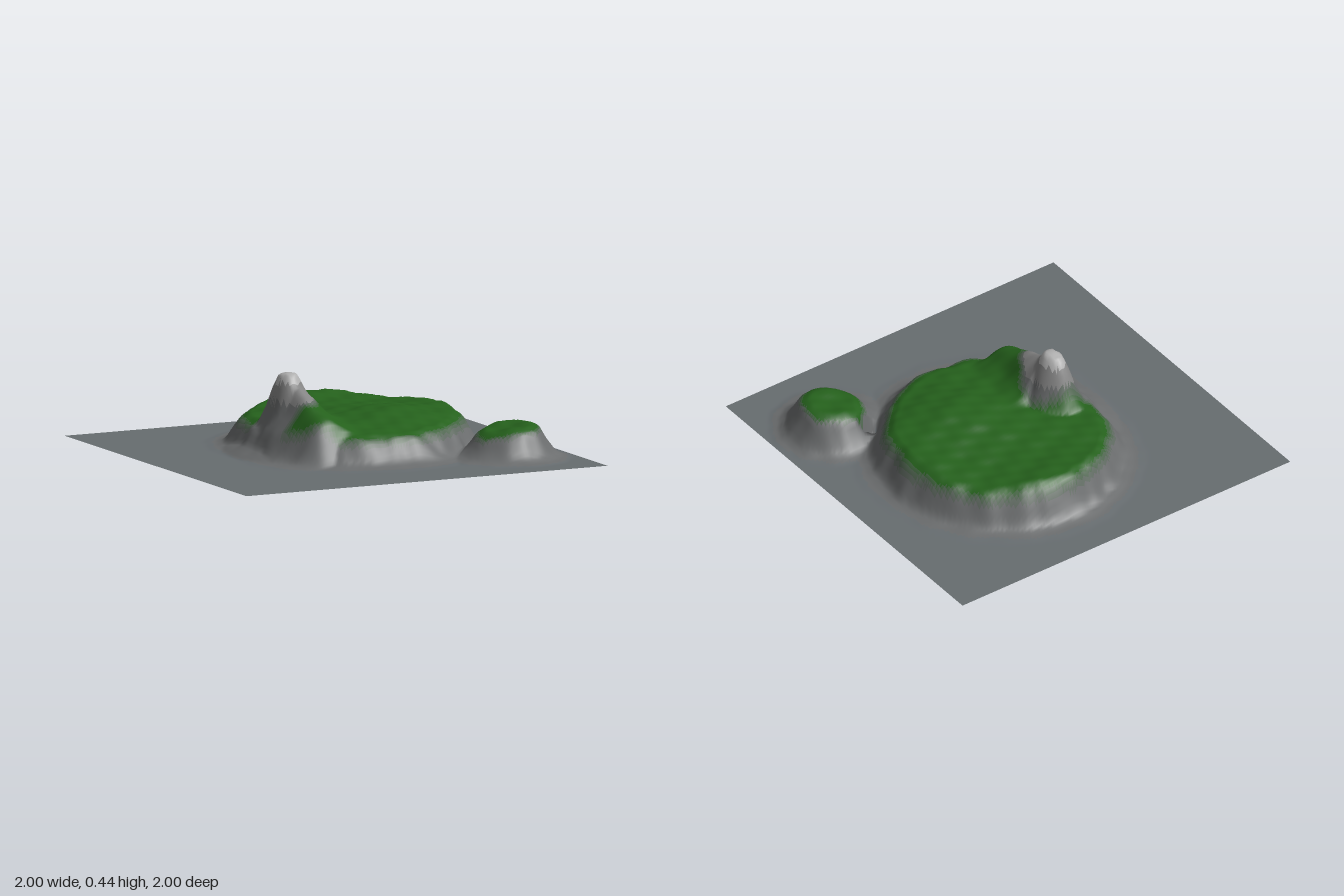
import * as THREE from 'three';

const SEGMENTS = 128, SEA = 0.03;
const { smoothstep, lerp } = THREE.MathUtils;

// Linear lookup in a short list of [position, value] pairs.
function lookup(table, x) {
  if (x <= table[0][0]) return table[0][1];
  for (let i = 1; i < table.length; i++) {
    const [x0, y0] = table[i - 1], [x1, y1] = table[i];
    if (x <= x1) return lerp(y0, y1, (x - x0) / (x1 - x0));
  }
  return table[table.length - 1][1];
}

// Shore radius of the main island every 45 degrees, from +x towards +z.
const ISLAND = { x: 0.13, z: -0.1 };
const SHORE = [0.64, 0.66, 0.715, 0.725, 0.61, 0.65, 0.672, 0.65];
// Cliff: share of the plateau height against distance / shore radius.
const CLIFF = [[0.78, 1], [0.85, 0.86], [0.9, 0.55], [0.94, 0.28], [0.98, 0.11], [1.04, 0.04], [1.13, 0]];
// Heights of the peak and the islet against distance from their centres.
const PEAK = [[0, 0.437], [0.035, 0.43], [0.06, 0.36], [0.09, 0.25], [0.14, 0.14], [0.19, 0.08], [0.29, SEA]];
const ISLET = [[0, 0.185], [0.12, 0.19], [0.16, 0.17], [0.2, 0.105], [0.235, 0.06], [0.27, 0.04], [0.32, SEA]];
// Crest of the ridge running forward from the peak, against z.
const RIDGE = [[-0.1, SEA], [0, 0.4], [0.1, 0.36], [0.2, 0.31], [0.3, 0.272], [0.37, 0.242], [0.44, 0.12], [0.5, SEA]];

const bump = (x, z, cx, cz, sx, sz) =>
  Math.exp(-((x - cx) ** 2) / (2 * sx * sx) - ((z - cz) ** 2) / (2 * sz * sz));

// Uneven rock made of a few crossed waves.
const rough = (x, z) =>
  Math.sin(23 * x + 9 * z) * Math.sin(27 * z - 7 * x + 1) + 0.6 * Math.sin(47 * x - 31 * z) * Math.sin(41 * z + 17 * x);

// Distance from the island centre as a share of the shore radius.
function islandShare(x, z) {
  const dx = x - ISLAND.x, dz = z - ISLAND.z;
  const a = ((Math.atan2(dz, dx) / (Math.PI / 4)) + 8) % 8;
  const i = Math.floor(a), f = a - i;
  const shore = lerp(SHORE[i % 8], SHORE[(i + 1) % 8], f * f * (3 - 2 * f));
  return Math.hypot(dx, dz) / shore + 0.012 * rough(x * 0.7, z * 0.7);
}

// The peak is longer from back to front and gentler on its east side.
function peakDistance(x, z) {
  const dx = x + 0.26, dz = z + 0.03;
  return Math.hypot(dx > 0 ? dx * 0.68 : dx, dz * 0.62);
}

const isletDistance = (x, z) => Math.hypot(x - 0.67, z - 0.555) + 0.007 * rough(x, z);

function height(x, z) {
  // Plateau with a low central hump, raised back rim and right rim.
  const plateau = 0.145
    + 0.065 * bump(x, z, 0.27, 0.1, 0.2, 0.17)
    + 0.05 * bump(x, z, 0.18, -0.64, 0.28, 0.13)
    + 0.03 * bump(x, z, 0.62, -0.15, 0.1, 0.25)
    + 0.03 * bump(x, z, 0.15, -0.25, 0.3, 0.2);
  let y = SEA + plateau * lookup(CLIFF, islandShare(x, z));
  // Ridge, peak and islet rise out of whatever lies below them.
  const crest = lookup(RIDGE, z);
  if (crest > y) y += (crest - y) * bump(x, 0, -0.24, 0, x < -0.24 ? 0.065 : 0.09, 1);
  y = Math.max(y, lookup(PEAK, peakDistance(x, z)));
  const islet = lookup(ISLET, isletDistance(x, z));
  const tilt = x < 0.67 ? 0.22 : 0.1;
  y = Math.max(y, islet + tilt * (x - 0.67) * smoothstep(islet, SEA, 0.18));
  // Roughness fades out over the flat seabed.
  y += 0.005 * rough(x, z) * smoothstep(y, SEA, 0.1);
  // Small pit in the channel between island and islet.
  return lerp(y, 0, 1 - smoothstep(Math.hypot((x - 0.565) / 0.065, (z - 0.388) / 0.03), 0.5, 1.1));
}

// How much grass grows at a point, 0 to 1.
function grassCover(x, y, z) {
  const island = 1 - smoothstep(islandShare(x, z), 0.8, 0.91);
  const islet = 1 - smoothstep(isletDistance(x, z), 0.14, 0.175);
  const aroundPeak = 1 - smoothstep(Math.hypot(x + 0.24, z + 0.02), 0.11, 0.17);
  const westFace = (1 - smoothstep(Math.abs(z - 0.01), 0.13, 0.21)) * (1 - smoothstep(x, -0.26, -0.16));
  const levels = smoothstep(y, 0.07, 0.13) * (1 - smoothstep(y, 0.29, 0.33));
  return levels * Math.max(island * (1 - Math.max(aroundPeak, westFace)), islet);
}

// Terrain zones from bare ground to grass, with blended borders.
const ROCK = new THREE.Color(0x6b6d6e), GRASS = new THREE.Color(0x25611c);
const blend = (t) => ROCK.clone().lerp(GRASS, t);
const ZONES = [
  { name: 'seabed', color: new THREE.Color(0x676d70) },
  { name: 'rockSlopes', color: ROCK },
  { name: 'sparseGrass', color: blend(0.25) },
  { name: 'thinGrass', color: blend(0.5) },
  { name: 'denseGrass', color: blend(0.75) },
  { name: 'grass', color: GRASS },
  { name: 'upperPeak', color: new THREE.Color(0x858585) },
  { name: 'summit', color: new THREE.Color(0xb0b0b0) },
];

function zoneAt(x, y, z) {
  const cover = grassCover(x, y, z);
  if (cover > 0.1) return 1 + Math.round(cover * 4);
  if (y > 0.39) return 7;
  if (y > 0.3) return 6;
  return Math.abs(y - SEA) < 0.004 ? 0 : 1;
}

export function createModel() {
  const group = new THREE.Group();
  group.name = 'islandTerrain';

  // One height field gives continuous normals across all zones.
  const field = new THREE.PlaneGeometry(2, 2, SEGMENTS, SEGMENTS).rotateX(-Math.PI / 2);
  const pos = field.attributes.position;
  for (let i = 0; i < pos.count; i++) pos.setY(i, height(pos.getX(i), pos.getZ(i)));
  field.computeVertexNormals();

  // Sort the triangles into zones by the point at their centre.
  const lists = ZONES.map(() => []);
  const index = field.index;
  for (let i = 0; i < index.count; i += 3) {
    const corners = [0, 1, 2].map((k) => index.getX(i + k));
    const mean = (get) => corners.reduce((sum, c) => sum + pos[get](c), 0) / 3;
    lists[zoneAt(mean('getX'), mean('getY'), mean('getZ'))].push(...corners);
  }

  ZONES.forEach(({ name, color }, i) => {
    const geometry = new THREE.BufferGeometry();
    geometry.setAttribute('position', pos);
    geometry.setAttribute('normal', field.attributes.normal);
    geometry.setIndex(lists[i]);
    const mesh = new THREE.Mesh(geometry, new THREE.MeshStandardMaterial({ color, side: THREE.DoubleSide }));
    mesh.name = name;
    group.add(mesh);
  });
  return group;
}
